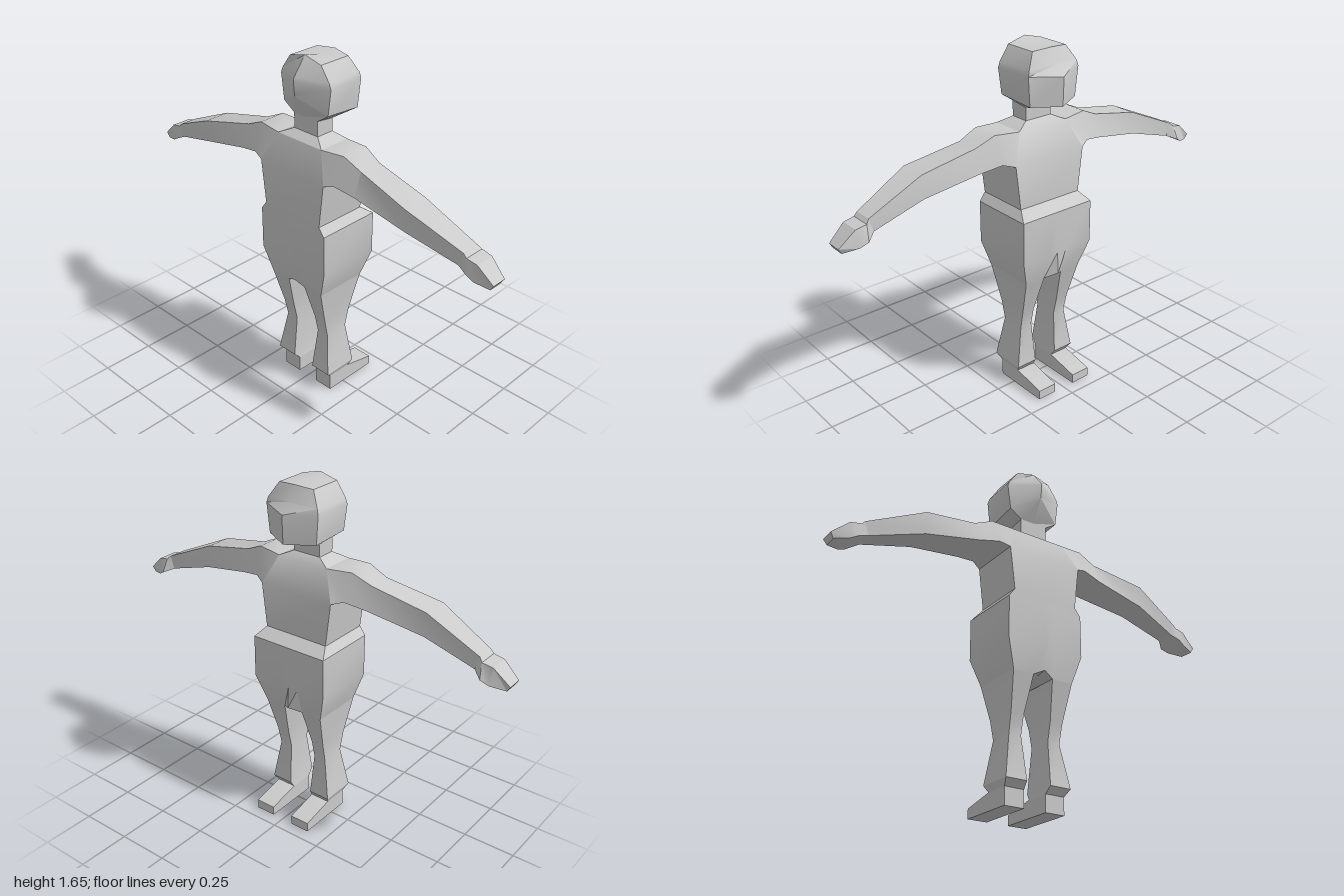
import * as THREE from 'three';
import { toCreasedNormals } from 'three/addons/utils/BufferGeometryUtils.js';

const material = new THREE.MeshStandardMaterial({ color: 0xcccccc });

// Skin a row of closed cross-sections; caps: '' | 'start' | 'end' | 'both'
function loft(name, rings, caps = 'both') {
  const pos = [];
  const tri = (a, b, c) => pos.push(...a, ...b, ...c);
  const n = rings[0].length;
  for (let i = 0; i < rings.length - 1; i++) {
    for (let j = 0; j < n; j++) {
      const k = (j + 1) % n;
      const a = rings[i][j], b = rings[i][k], c = rings[i + 1][k], d = rings[i + 1][j];
      tri(a, b, c);
      tri(a, c, d);
    }
  }
  const cap = (ring, flip) => {
    const mid = [0, 1, 2].map((k) => ring.reduce((s, p) => s + p[k], 0) / n);
    ring.forEach((p, j) => {
      const q = ring[(j + 1) % n];
      if (flip) tri(mid, q, p);
      else tri(mid, p, q);
    });
  };
  if (caps === 'start' || caps === 'both') cap(rings[0], true);
  if (caps === 'end' || caps === 'both') cap(rings[rings.length - 1], false);
  const geometry = new THREE.BufferGeometry();
  geometry.setAttribute('position', new THREE.Float32BufferAttribute(pos, 3));
  const mesh = new THREE.Mesh(toCreasedNormals(geometry, 0.5), material);
  mesh.name = name;
  return mesh;
}

const flipZ = ([x, y, z]) => [x, y, -z];
const mirrorRings = (rings) => rings.map((r) => r.map(flipZ).reverse());

// Full ring from its +z half, listed front to back
const symmetric = (half) => [
  ...half.map(flipZ),
  ...half.filter((p) => p[2] !== 0).reverse(),
];

export function createModel() {
  const group = new THREE.Group();

  // Torso and neck: y, front x, back x, half width
  const torso = [
    [0.94, 0.08, -0.18, 0.165],
    [1.15, 0.08, -0.18, 0.19],
    [1.282, 0.03, -0.13, 0.13],
    [1.31, 0, -0.09, 0.07],
    [1.38, 0, -0.09, 0.07],
  ].map(([y, f, b, w]) => symmetric([[f, y, w], [b, y, w]]));
  group.add(loft('torso', torso, ''));

  // Hips, tapering to the crotch between the legs
  const hipRing = (y, f, b, w, midY = y, midF = f, midB = b, inner = 0.05) => symmetric([
    [midF, midY, 0], [f, y, inner], [f, y, w],
    [b, y, w], [b, y, inner], [midB, midY, 0],
  ]);
  group.add(loft('hips', [
    hipRing(0.575, 0.1, -0.157, 0.155, 0.6, 0.14, -0.17),
    hipRing(0.705, 0.135, -0.18, 0.195, 0.705, 0.135, -0.195),
    hipRing(0.905, 0.135, -0.18, 0.195),
    hipRing(0.945, 0.08, -0.18, 0.165),
  ]));

  // Head: rings of front, side front, side back and back points
  const headRing = (front, sideFront, sideBack, back) =>
    symmetric([[...front, 0], sideFront, sideBack, [...back, 0]]);
  group.add(loft('head', [
    headRing([0, 1.37], [0, 1.37, 0.07], [-0.09, 1.38, 0.07], [-0.09, 1.38]),
    headRing([0.16, 1.4], [0.095, 1.405, 0.125], [-0.09, 1.42, 0.13], [-0.153, 1.49]),
    headRing([0.165, 1.53], [0.1, 1.54, 0.137], [-0.09, 1.54, 0.146], [-0.16, 1.56]),
    headRing([0.12, 1.575], [0.097, 1.565, 0.13], [-0.09, 1.565, 0.137], [-0.155, 1.575]),
    headRing([0.085, 1.64], [0.07, 1.632, 0.09], [-0.09, 1.632, 0.09], [-0.092, 1.655]),
  ], 'end'));

  // Arm and hand: top edge z, y, front x, back x; then the bottom edge likewise
  const armRing = ([tz, ty, tf, tb], [bz, by, bf, bb]) =>
    [[tf, ty, tz], [tb, ty, tz], [bb, by, bz], [bf, by, bz]];
  const arm = [
    armRing([0.13, 1.282, 0.03, -0.13], [0.19, 1.15, 0.08, -0.18]),
    armRing([0.25, 1.29, 0.015, -0.12], [0.24, 1.165, 0.055, -0.168]),
    armRing([0.34, 1.25, 0, -0.115], [0.34, 1.145, 0.03, -0.153]),
    armRing([0.6, 1.195, -0.018, -0.15], [0.6, 1.09, -0.01, -0.145]),
    armRing([0.86, 1.082, -0.01, -0.1], [0.84, 1.02, -0.012, -0.1]),
  ];
  const hand = [
    arm[4],
    armRing([0.875, 1.066, 0, -0.1], [0.885, 1, 0.025, -0.11]),
    armRing([0.925, 1.057, -0.003, -0.098], [0.92, 0.98, 0.012, -0.105]),
    armRing([1, 0.99, -0.015, -0.088], [0.985, 0.965, -0.02, -0.085]),
  ];

  // Leg: y, front x, back x, inner z, outer z
  const leg = [
    [0.08, 0.03, -0.09, 0.055, 0.152],
    [0.11, 0.05, -0.12, 0.06, 0.165],
    [0.31, 0.03, -0.09, 0.07, 0.132],
    [0.4, 0.05, -0.11, 0.07, 0.135],
    [0.575, 0.1, -0.157, 0.05, 0.155],
  ].map(([y, f, b, i, o]) => [[f, y, i], [b, y, i], [b, y, o], [f, y, o]]);

  // Foot: one side profile swept across its width
  const foot = [0.055, 0.152].map((z) =>
    [[-0.09, 0, z], [0.19, 0, z], [0.19, 0.045, z], [0.03, 0.08, z], [-0.09, 0.08, z]]);

  const limbs = [['Arm', arm, ''], ['Hand', hand, 'end'], ['Leg', leg, 'start'], ['Foot', foot, 'both']];
  for (const [name, rings, caps] of limbs) {
    group.add(loft('right' + name, rings, caps));
    group.add(loft('left' + name, mirrorRings(rings), caps));
  }
  return group;
}
